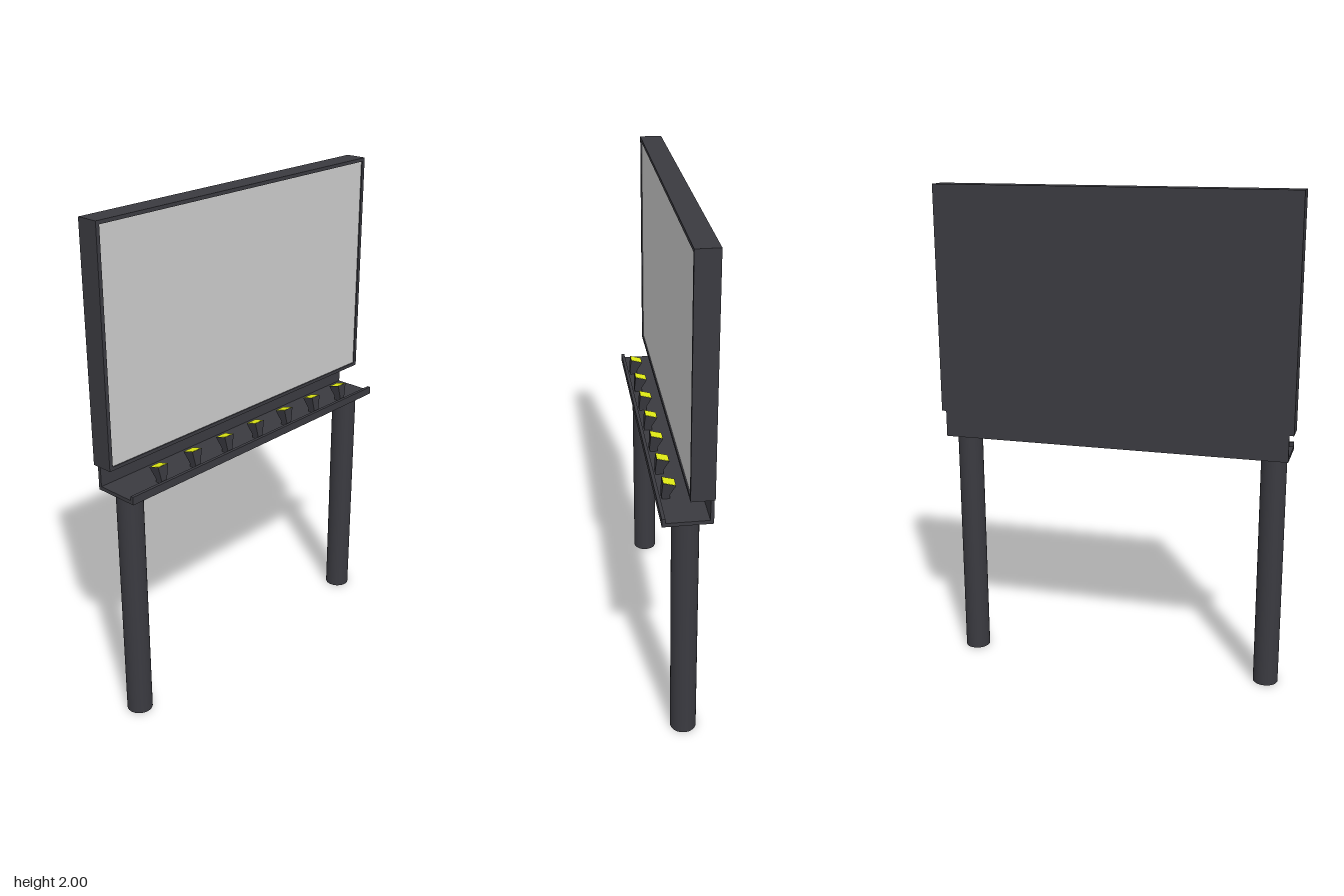
import * as THREE from 'three';

const dark = new THREE.MeshStandardMaterial({ color: 0x3a3a40 });
const grey = new THREE.MeshStandardMaterial({ color: 0xcccccc });
const yellow = new THREE.MeshStandardMaterial({ color: 0xe0ea14 });

function add(parent, name, geometry, material, x = 0, y = 0, z = 0) {
  const mesh = new THREE.Mesh(geometry, material);
  mesh.name = name;
  mesh.position.set(x, y, z);
  parent.add(mesh);
  return mesh;
}

// Rectangle given by half width and vertical range
function rect(Type, hw, y0, y1) {
  const p = new Type();
  p.moveTo(-hw, y0);
  p.lineTo(hw, y0);
  p.lineTo(hw, y1);
  p.lineTo(-hw, y1);
  p.closePath();
  return p;
}

// Square lamp housing: narrow at the base, wide at the lit top, origin at its base
function lampHousing(baseHalf, topHalf, height) {
  const g = new THREE.CylinderGeometry(topHalf * Math.SQRT2, baseHalf * Math.SQRT2, height, 4).toNonIndexed();
  g.rotateY(Math.PI / 4);
  g.translate(0, height / 2, 0);
  g.computeVertexNormals();
  return g;
}

export function createModel() {
  const model = new THREE.Group();
  model.name = 'billboard';

  // Support posts
  for (const side of [-1, 1]) {
    add(model, side > 0 ? 'leftPost' : 'rightPost', new THREE.CylinderGeometry(0.051, 0.051, 0.98, 32), dark, side * 0.64, 0.49, 0);
  }

  // Sign cabinet: back panel, raised rim and recessed display face
  const sign = new THREE.Group();
  sign.name = 'sign';
  model.add(sign);
  add(sign, 'signBack', new THREE.BoxGeometry(1.446, 0.914, 0.08), dark, 0, 1.543, -0.053);
  const rim = rect(THREE.Shape, 0.723, 1.086, 2);
  rim.holes.push(rect(THREE.Path, 0.708, 1.1, 1.986));
  add(sign, 'signRim', new THREE.ExtrudeGeometry(rim, { depth: 0.008, bevelEnabled: false }), dark, 0, 0, -0.013);
  add(sign, 'displayFace', new THREE.PlaneGeometry(1.416, 0.886), grey, 0, 1.543, -0.01);

  // Lighting tray: one folded section with a tall back and a low front lip
  const section = new THREE.Shape([
    [-0.093, 0.979], [0.093, 0.979], [0.093, 1.011], [0.08, 1.011],
    [0.08, 0.994], [-0.08, 0.994], [-0.08, 1.086], [-0.093, 1.086],
  ].map(([z, y]) => new THREE.Vector2(-z, y)));
  const trayGeometry = new THREE.ExtrudeGeometry(section, { depth: 1.41, bevelEnabled: false });
  trayGeometry.translate(0, 0, -0.705);
  add(model, 'lightTray', trayGeometry, dark).rotation.y = Math.PI / 2;

  // Row of lamps leaning back towards the sign
  const housing = lampHousing(0.012, 0.025, 0.064);
  const lens = new THREE.BoxGeometry(0.046, 0.002, 0.046);
  const foot = new THREE.BoxGeometry(0.024, 0.016, 0.03);
  for (let i = -3; i <= 3; i++) {
    const lamp = new THREE.Group();
    lamp.name = 'lamp';
    lamp.position.set(i * 0.177, 0.994, 0);
    add(lamp, 'lampFoot', foot, dark, 0, 0.008, 0.056);
    const head = new THREE.Group();
    head.name = 'lampHead';
    head.position.set(0, 0.005, 0.062);
    head.rotation.x = -0.27;
    add(head, 'lampHousing', housing, dark);
    add(head, 'lampLens', lens, yellow, 0, 0.064, 0);
    lamp.add(head);
    model.add(lamp);
  }
  return model;
}
